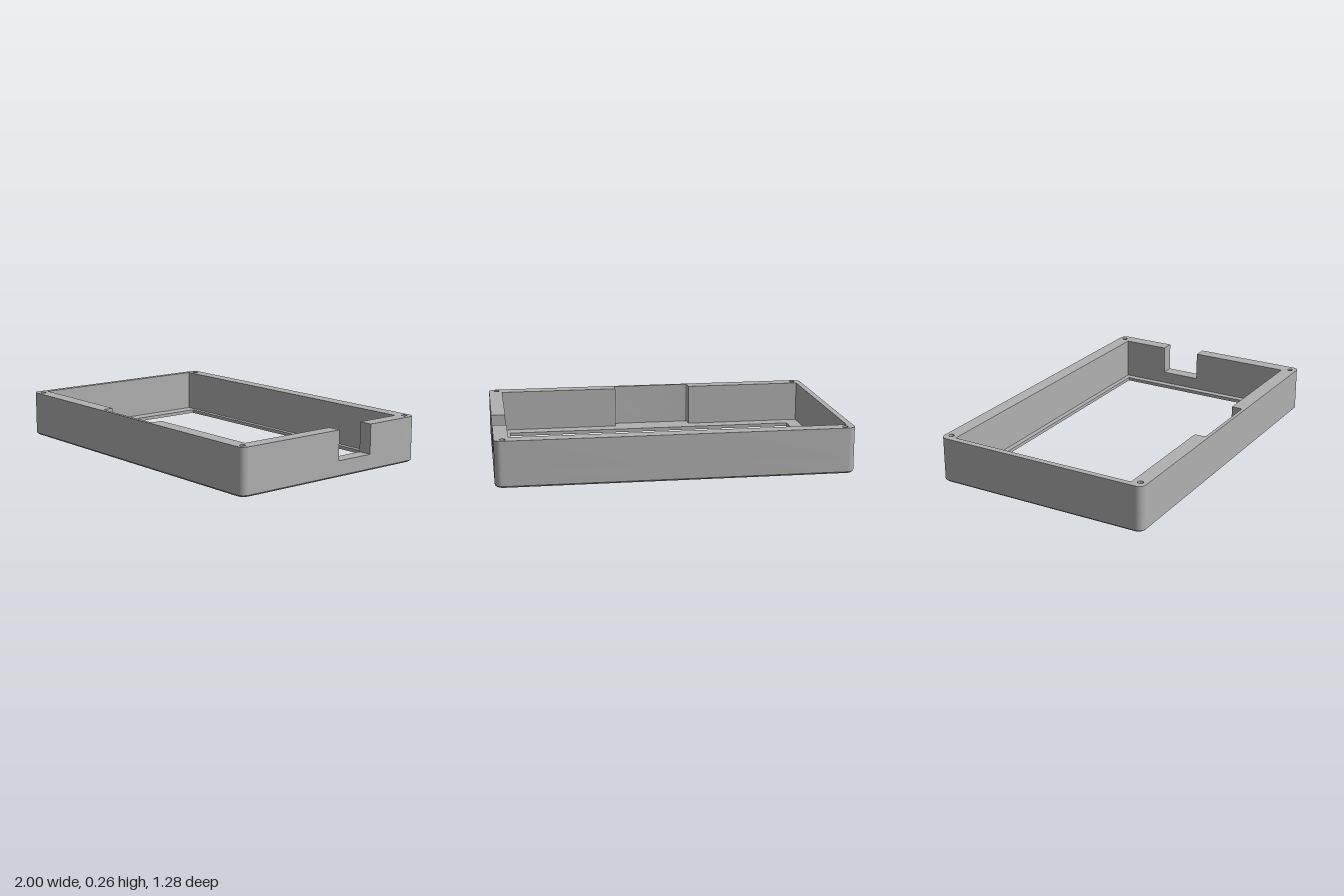
import * as THREE from 'three';
import { toCreasedNormals } from 'three/addons/utils/BufferGeometryUtils.js';

const W = 1, D = 0.64, R = 0.04;              // outer half sizes and corner radius
const FLOOR = 0.02, SILL = 0.092, TOP = 0.262; // heights
const CHAMFER = 0.01;
const NOTCH = [0.042, 0.282];                 // side notch, as -z
const IN = { l: -0.965, r: 0.92, f: -0.555, b: 0.56 }; // cavity, as x and -z

// Outer outline, anticlockwise from (W, from) round to (W, to)
function traceOuter(path, from, to) {
  path.moveTo(W, from);
  path.lineTo(W, D - R);
  path.absarc(W - R, D - R, R, 0, Math.PI / 2, false);
  path.lineTo(-W + R, D);
  path.absarc(-W + R, D - R, R, Math.PI / 2, Math.PI, false);
  path.lineTo(-W, -D + R);
  path.absarc(-W + R, -D + R, R, Math.PI, Math.PI * 1.5, false);
  path.lineTo(W - R, -D);
  path.absarc(W - R, -D + R, R, Math.PI * 1.5, Math.PI * 2, false);
  path.lineTo(W, to);
}

// Cavity outline, clockwise from the right wall, with the recess in the front wall
function traceInner(path, from, to) {
  const r = 0.015, x0 = -0.26, x1 = 0.21, s = -0.62;
  path.lineTo(IN.r, from);
  path.lineTo(IN.r, IN.f);
  path.lineTo(x1, IN.f);
  path.lineTo(x1, s + r);
  path.absarc(x1 - r, s + r, r, 0, -Math.PI / 2, true);
  path.lineTo(x0 + r, s);
  path.absarc(x0 + r, s + r, r, -Math.PI / 2, -Math.PI, true);
  path.lineTo(x0, IN.f);
  path.lineTo(IN.l, IN.f);
  path.lineTo(IN.l, IN.b);
  path.lineTo(IN.r, IN.b);
  path.lineTo(IN.r, to);
}

// Extrude a plan shape upwards between two heights
function extrudeUp(shape, y0, y1, steps = 1) {
  const g = new THREE.ExtrudeGeometry(shape, { depth: y1 - y0, steps, bevelEnabled: false, curveSegments: 10 });
  g.rotateX(-Math.PI / 2);
  g.translate(0, y0, 0);
  return g;
}

export function createModel() {
  const group = new THREE.Group();
  group.name = 'enclosureFrame';
  const grey = new THREE.MeshStandardMaterial({ color: 0xb0b0b0 });
  grey.name = 'grey plastic';
  const add = (name, geometry) => {
    const mesh = new THREE.Mesh(toCreasedNormals(geometry, 0.5), grey);
    mesh.name = name;
    group.add(mesh);
  };

  // Floor with a window and a chamfered lower rim
  const floor = new THREE.Shape();
  traceOuter(floor, 0, 0);
  const window = new THREE.Path();
  window.moveTo(-0.885, -0.47);
  window.lineTo(-0.885, 0.53);
  window.lineTo(0.88, 0.53);
  window.lineTo(0.88, -0.47);
  window.closePath();
  floor.holes.push(window);
  const floorGeo = extrudeUp(floor, 0, FLOOR, 2);
  const p = floorGeo.attributes.position;
  for (let i = 0; i < p.count; i++) {
    const x = p.getX(i), z = p.getZ(i);
    if (p.getY(i) < 0.001 && (Math.abs(x) > 0.9 || Math.abs(z) > 0.58)) {
      p.setX(i, x * (W - CHAMFER) / W);
      p.setZ(i, z * (D - CHAMFER) / D);
    }
  }
  add('floor', floorGeo);

  // Lower wall, a closed ring up to the notch sill
  const lower = new THREE.Shape();
  traceOuter(lower, 0, 0);
  const cavity = new THREE.Path();
  cavity.moveTo(IN.r, 0);
  traceInner(cavity, 0, 0);
  lower.holes.push(cavity);
  add('lowerWall', extrudeUp(lower, FLOOR, SILL));

  // Upper wall, open at the notch, with a screw hole in each corner
  const upper = new THREE.Shape();
  traceOuter(upper, NOTCH[1], NOTCH[0]);
  traceInner(upper, NOTCH[0], NOTCH[1]);
  upper.closePath();
  for (const x of [-0.947, 0.953]) {
    for (const s of [-0.6, 0.602]) {
      const hole = new THREE.Path();
      hole.absarc(x, s, 0.016, 0, Math.PI * 2, true);
      upper.holes.push(hole);
    }
  }
  add('upperWall', extrudeUp(upper, SILL, TOP));

  return group;
}
